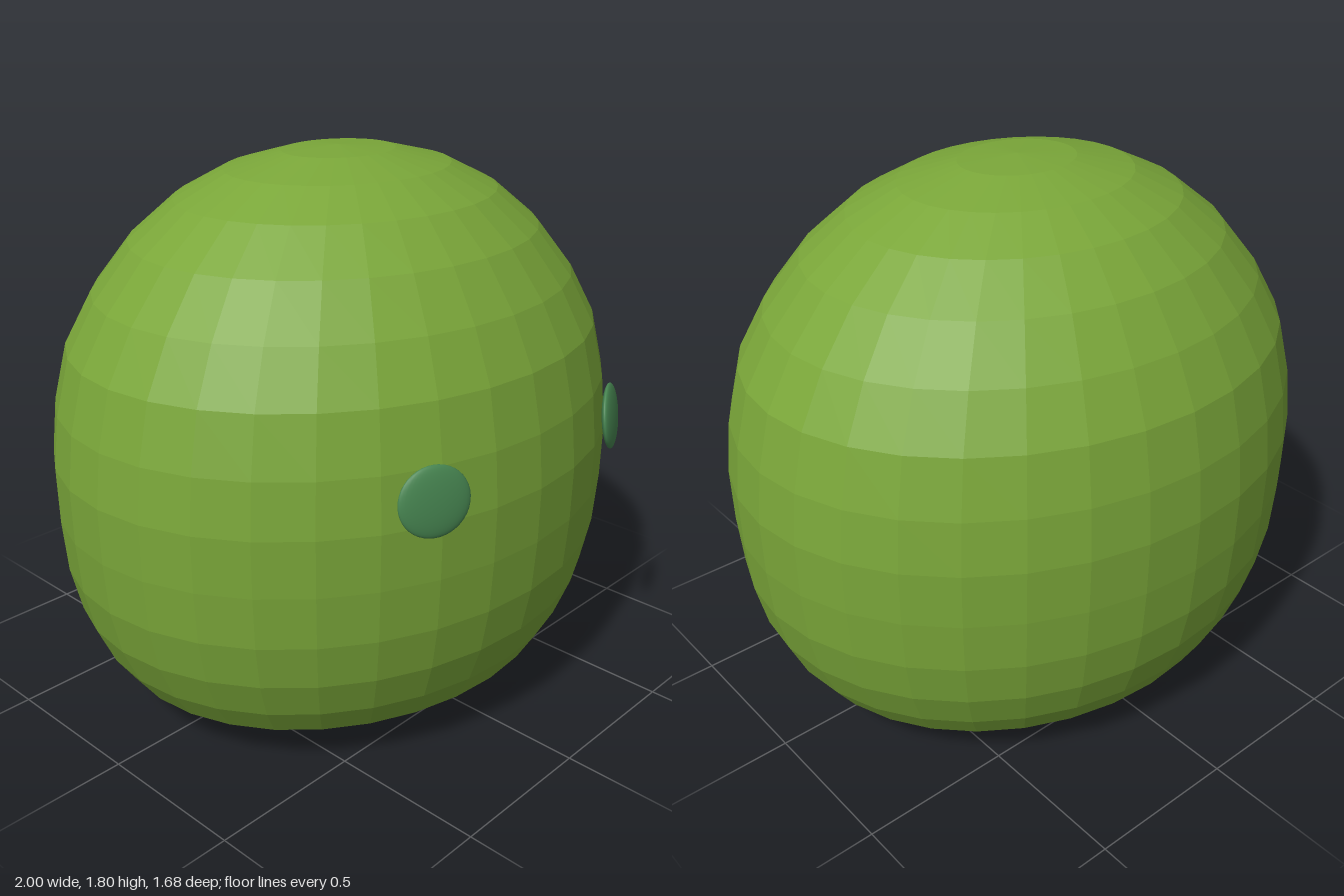
import * as THREE from 'three';

export function createModel() {
  const model = new THREE.Group();
  model.name = 'blobHead';

  const skinGreen = new THREE.MeshStandardMaterial({ color: 0x7aa639, flatShading: true });
  skinGreen.name = 'skinGreen';
  const eyeGreen = new THREE.MeshStandardMaterial({ color: 0x468450 });
  eyeGreen.name = 'eyeGreen';

  // Rounded body: radius and height pairs from the flat base up to the crown
  const profile = [
    [0, 0], [0.42, 0.005], [0.57, 0.03], [0.705, 0.08], [0.82, 0.15], [0.89, 0.25],
    [0.948, 0.38], [0.983, 0.53], [0.997, 0.7], [1, 0.88], [0.98, 1.05], [0.933, 1.23],
    [0.84, 1.39], [0.713, 1.54], [0.56, 1.66], [0.393, 1.74], [0.197, 1.788], [0, 1.8],
  ].map(([r, y]) => new THREE.Vector2(r, y));
  const body = new THREE.Mesh(new THREE.LatheGeometry(profile, 32), skinGreen);
  body.name = 'body';
  body.scale.z = 0.837;
  body.position.z = -0.006;
  model.add(body);

  // Flattened eyes, turned outwards and leaning back slightly
  const eyeShape = new THREE.SphereGeometry(0.105, 32, 20);
  eyeShape.scale(1.06, 1, 0.19);
  for (const [name, side, x] of [['leftEye', 1, 0.427], ['rightEye', -1, -0.449]]) {
    const eye = new THREE.Mesh(eyeShape, eyeGreen);
    eye.name = name;
    eye.position.set(x, 0.979, 0.787);
    eye.rotation.set(-0.14, side * 0.42, 0, 'YXZ');
    model.add(eye);
  }

  return model;
}
